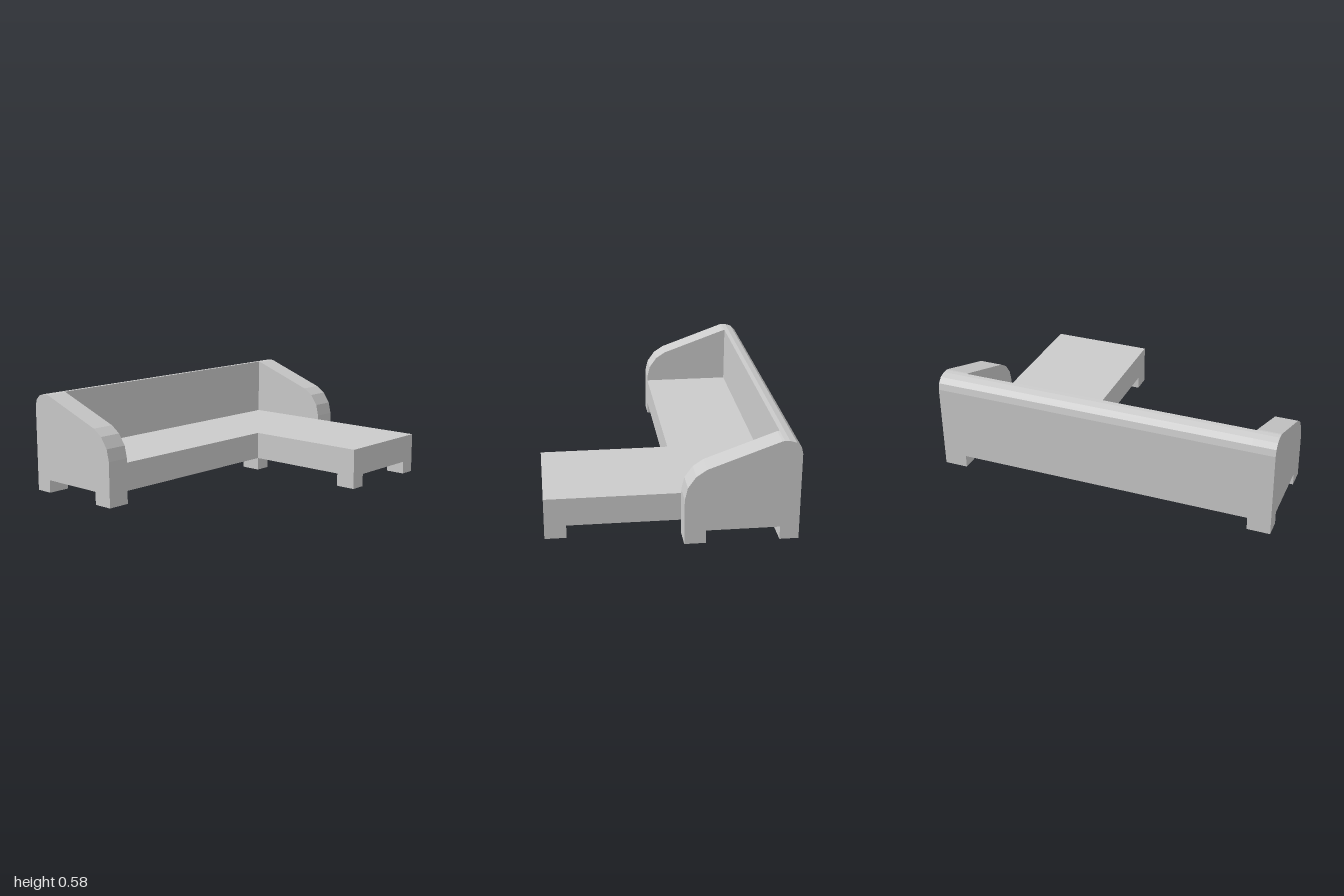
import * as THREE from 'three';

const material = new THREE.MeshStandardMaterial({ color: 0xcccccc, flatShading: true });
const toShape = (points) => new THREE.Shape(points.map(([x, y]) => new THREE.Vector2(x, y)));

const floorGap = 0.075, seatTop = 0.237;
const armRight = -0.867, armLeft = 0.862; // inner faces of the arms

// Rounded rear top edge shared by arms and backrest, as [depth behind centre, height]
const rearCurve = [[0.685, 0.5], [0.676, 0.538], [0.65, 0.566], [0.612, 0.578], [0.585, 0.579]];

export function createModel() {
  const model = new THREE.Group();
  model.name = 'cornerSofa';

  const add = (name, geometry) => {
    const mesh = new THREE.Mesh(geometry, material);
    mesh.name = name;
    model.add(mesh);
  };

  // Extrudes a side profile sideways from x0 to x1
  const addProfile = (name, points, x0, x1) => {
    const geometry = new THREE.ExtrudeGeometry(toShape(points), { depth: x1 - x0, bevelEnabled: false });
    geometry.rotateY(Math.PI / 2).translate(x0, 0, 0);
    add(name, geometry);
  };

  // Arms: sloping side panels whose ends run down into feet
  const armProfile = [
    [0.06, 0], [0.178, 0], [0.178, floorGap], [0.58, floorGap], [0.58, 0], [0.685, 0],
    ...rearCurve,
    [0.572, 0.577], [0.178, 0.434], [0.12, 0.395], [0.076, 0.332], [0.06, 0.262],
  ];
  addProfile('rightArm', armProfile, -1, armRight);
  addProfile('leftArm', armProfile, armLeft, 1);

  // Backrest between the arms
  addProfile('backrest', [[0.585, floorGap], [0.685, floorGap], ...rearCurve], armRight, armLeft);

  // L-shaped seat with the chaise on the left
  const seatOutline = [
    [armRight, 0.06], [0.247, 0.06], [0.247, -0.685],
    [armLeft, -0.685], [armLeft, 0.585], [armRight, 0.585],
  ];
  const seat = new THREE.ExtrudeGeometry(toShape(seatOutline), { depth: seatTop - floorGap, bevelEnabled: false });
  seat.rotateX(-Math.PI / 2).translate(0, floorGap, 0);
  add('seat', seat);

  // Feet under the chaise: two at its front, one at the inner corner
  const footWidth = 0.092, footDepth = 0.12;
  const feet = [
    ['chaiseFrontRightFoot', 0.247, 0.685],
    ['chaiseFrontLeftFoot', armLeft - footWidth, 0.685],
    ['innerCornerFoot', 0.247, -0.06],
  ];
  for (const [name, x, frontZ] of feet) {
    const foot = new THREE.BoxGeometry(footWidth, floorGap, footDepth);
    foot.translate(x + footWidth / 2, floorGap / 2, frontZ - footDepth / 2);
    add(name, foot);
  }

  return model;
}
